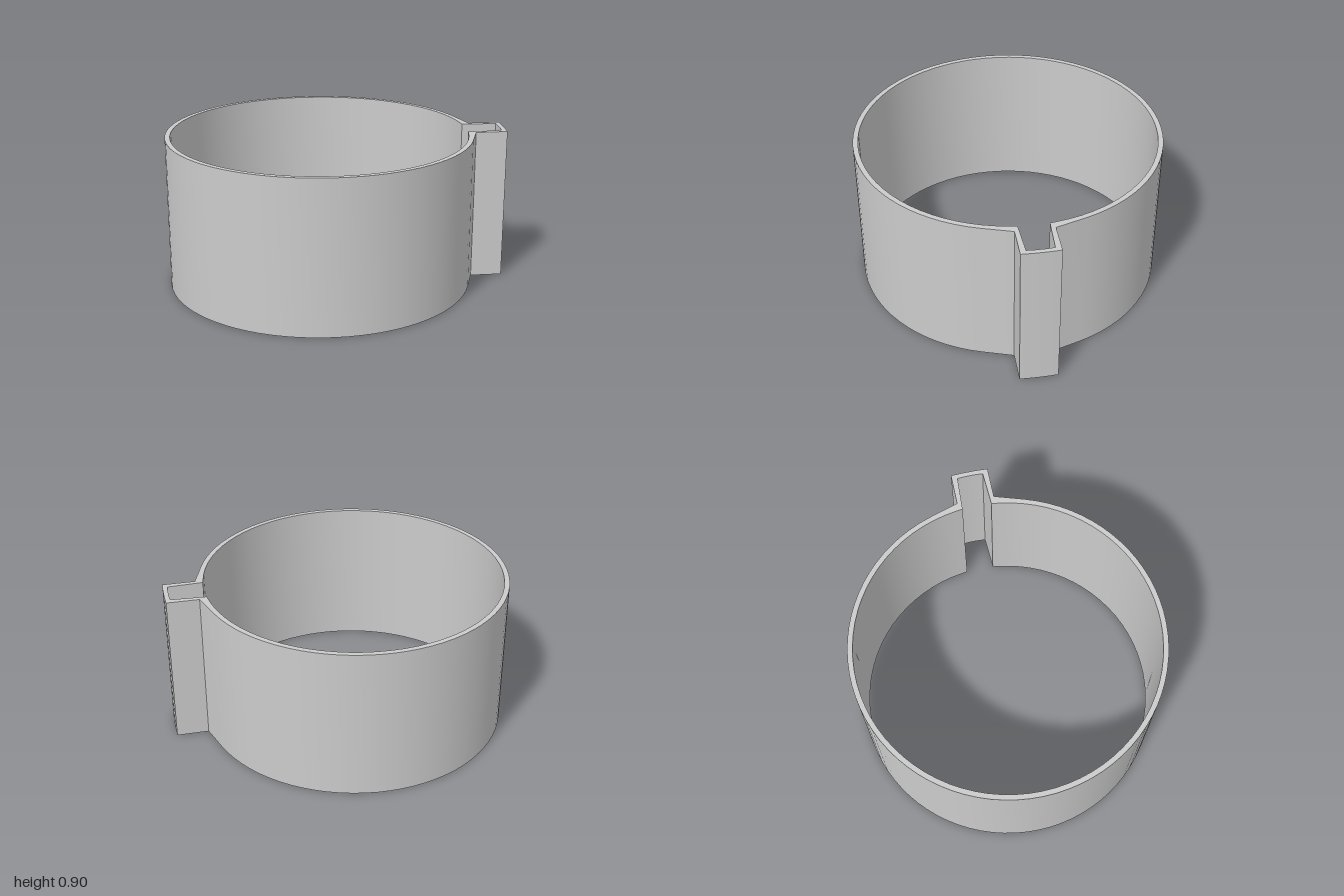
import * as THREE from 'three';
import { toCreasedNormals } from 'three/addons/utils/BufferGeometryUtils.js';

const HEIGHT = 0.9, CENTER_X = -0.1;

// Mirrored outline: a large arc around the ring, closed by the points of the side lug
function outline(radius, startAngle, lug, segments = 72) {
  const points = [];
  for (let i = 0; i <= segments; i++) {
    const a = startAngle + (i / segments) * 2 * (Math.PI - startAngle);
    points.push(new THREE.Vector2(CENTER_X + radius * Math.cos(a), radius * Math.sin(a)));
  }
  for (const [x, z] of lug) points.push(new THREE.Vector2(x, -z));
  for (const [x, z] of [...lug].reverse()) points.push(new THREE.Vector2(x, z));
  return points;
}

export function createModel() {
  const group = new THREE.Group();
  group.name = 'ringWithLug';

  // Outer wall flares slightly into the lug; inner wall opens into its channel
  const shape = new THREE.Shape(outline(0.9, 0.32, [[0.81, 0.11], [0.997, 0.11], [1, 0.04]]));
  shape.holes.push(new THREE.Path(outline(0.87, 0.14, [[0.767, 0.086], [0.97, 0.076], [0.973, 0.03]])));

  const extruded = new THREE.ExtrudeGeometry(shape, { depth: HEIGHT, bevelEnabled: false });
  extruded.rotateX(-Math.PI / 2);
  const geometry = toCreasedNormals(extruded, Math.PI / 6);

  const ring = new THREE.Mesh(geometry, new THREE.MeshStandardMaterial({ color: 0xcccccc }));
  ring.name = 'ringWall';
  group.add(ring);
  return group;
}
